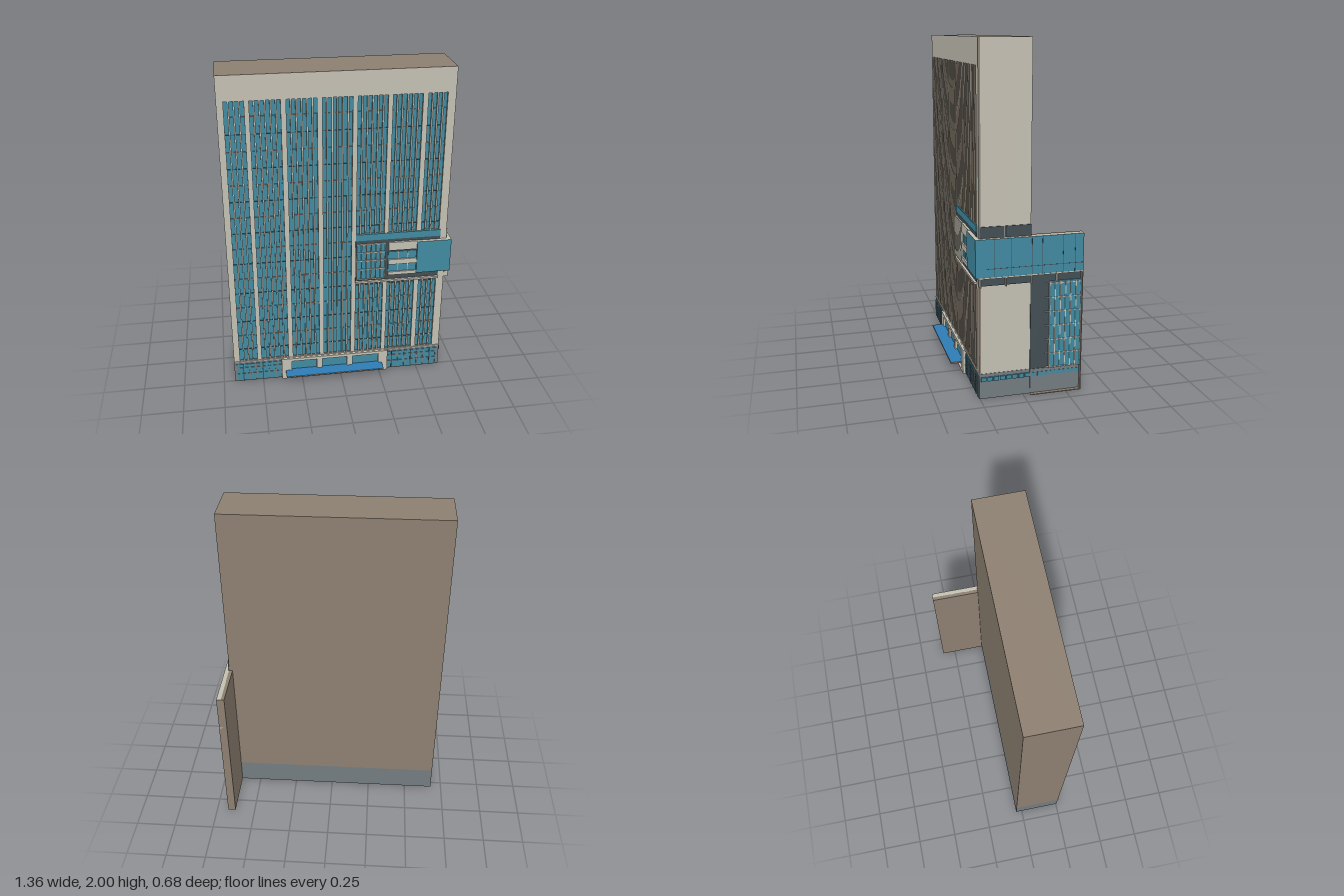
import * as THREE from 'three';

const mat = (name, color) => {
  const m = new THREE.MeshStandardMaterial({ color });
  m.name = name;
  return m;
};

export function createModel() {
  const stone = mat('pale stone', 0xc3bfb2);
  const brown = mat('brown wall', 0x8c7f70);
  const glass = mat('teal glass', 0x4089a1);
  const dark = mat('dark glazing', 0x424e53);
  const grey = mat('grey plinth', 0x737c81);
  const blue = mat('blue canopy', 0x2d7cb5);

  const model = new THREE.Group();
  model.name = 'tower';
  let parent = model;
  const section = (name) => {
    parent = new THREE.Group();
    parent.name = name;
    model.add(parent);
  };
  // Box given by its limits on each axis
  const box = (name, material, x0, x1, y0, y1, z0, z1) => {
    const mesh = new THREE.Mesh(new THREE.BoxGeometry(x1 - x0, y1 - y0, z1 - z0), material);
    mesh.position.set((x0 + x1) / 2, (y0 + y1) / 2, (z0 + z1) / 2);
    mesh.name = name;
    parent.add(mesh);
    return mesh;
  };

  // Main slab: pale right end, brown back, left end and roof
  section('slab');
  box('slabBody', [stone, brown, brown, grey, glass, brown], -0.68, 0.648, 0.15, 2, -0.04, 0.243);
  box('plinth', grey, -0.68, 0.65, 0, 0.15, -0.04, 0.255);

  // Pierced front screen with grouped window strips
  section('facade');
  const screen = new THREE.Shape();
  const rect = (p, x0, x1, y0, y1) => {
    p.moveTo(x0, y0);
    p.lineTo(x1, y0);
    p.lineTo(x1, y1);
    p.lineTo(x0, y1);
    p.closePath();
    return p;
  };
  rect(screen, -0.68, 0.648, 0.15, 2);
  const bays = [[-0.642, 4], [-0.504, 6], [-0.304, 6], [-0.105, 6], [0.093, 6], [0.29, 6], [0.49, 4]];
  for (const [start, count] of bays) {
    for (let i = 0; i < count; i++) {
      const x = start + i * 0.0298;
      const spans = start > 0.05 ? [[0.155, 0.655], [1.0, 1.855]] : [[0.155, 1.855]];
      for (const [y0, y1] of spans) screen.holes.push(rect(new THREE.Path(), x, x + 0.021, y0, y1));
    }
    // Floor lines behind the screen
    const end = start + (count - 1) * 0.0298 + 0.021;
    for (let f = 0; f < 16; f++) {
      const y = 0.235 + f * 0.1018;
      if (start > 0.05 && y > 0.65 && y < 1.0) continue;
      box('floorLine', f % 2 ? brown : dark, start, end, y, y + 0.003, 0.243, 0.247);
    }
  }
  const screenMesh = new THREE.Mesh(
    new THREE.ExtrudeGeometry(screen, { depth: 0.012, bevelEnabled: false }), [stone, brown]);
  screenMesh.position.z = 0.243;
  screenMesh.name = 'windowScreen';
  parent.add(screenMesh);

  // Projecting lounge on the front
  section('frontLounge');
  box('loungeBack', dark, 0.09, 0.61, 0.68, 0.962, 0.25, 0.258);
  box('upperGlassBand', glass, 0.09, 0.61, 0.958, 1.0, 0.25, 0.26);
  box('lowerSill', stone, 0.09, 0.61, 0.668, 0.68, 0.25, 0.272);
  box('latticeGlass', glass, 0.093, 0.275, 0.69, 0.935, 0.255, 0.262);
  for (let i = 0; i <= 6; i++) {
    const x = 0.093 + i * 0.0293;
    box('latticeMullion', stone, x, x + 0.005, 0.69, 0.935, 0.26, 0.272);
  }
  for (const y of [0.69, 0.76, 0.82, 0.875, 0.932]) {
    box('latticeRail', stone, 0.093, 0.274, y, y + 0.005, 0.26, 0.268);
  }
  for (const [y0, y1] of [[0.885, 0.94], [0.788, 0.822], [0.714, 0.736]]) {
    box('balconyBand', stone, 0.29, 0.467, y0, y1, 0.255, 0.272);
  }
  for (const [y0, y1] of [[0.822, 0.873], [0.736, 0.788]]) {
    box('balconyGlass', glass, 0.29, 0.467, y0, y1, 0.255, 0.263);
    for (const x of [0.35, 0.41]) box('balconyMullion', stone, x, x + 0.004, y0, y1, 0.26, 0.266);
  }

  // Teal glass box wrapping the right front corner
  section('cornerBox');
  box('frontGlassBox', [glass, glass, stone, stone, glass, stone], 0.465, 0.676, 0.722, 0.937, 0.25, 0.28);
  box('sideGlassBox', [glass, brown, stone, stone, glass, brown], 0.648, 0.676, 0.722, 0.937, -0.34, 0.25);
  for (const z of [0.175, 0.08, -0.04, -0.1, -0.22, -0.29]) {
    box('panelJoint', dark, 0.675, 0.677, 0.722, 0.937, z - 0.0015, z + 0.0015);
  }
  box('panelJoint', dark, 0.675, 0.677, 0.768, 0.771, -0.34, 0.22);
  box('boxFootTrim', stone, 0.65, 0.677, 0.714, 0.722, -0.34, 0.27);

  // Dark bands above and below the box
  for (const [z0, z1] of [[0.112, 0.25], [-0.04, 0.104]]) {
    box('upperDarkBand', dark, 0.645, 0.653, 0.937, 1.0, z0, z1);
  }
  box('lowerDarkBand', dark, 0.64, 0.656, 0.668, 0.714, -0.335, 0.25);
  for (const z of [0.25, 0.105, -0.04, -0.19]) {
    box('bandBracket', stone, 0.65, 0.676, 0.665, 0.716, z - 0.003, z + 0.003);
  }

  // Rear wing on the right side
  section('rearWing');
  box('wingWall', brown, 0.628, 0.65, 0, 0.937, -0.34, -0.04);
  box('wingEndPlate', brown, 0.65, 0.677, 0, 0.722, -0.34, -0.335);
  box('wingFloorPlate', brown, 0.628, 0.677, 0, 0.005, -0.34, -0.04);
  box('wingPlinth', grey, 0.65, 0.656, 0.005, 0.15, -0.335, -0.04);
  box('wingDarkRecess', dark, 0.65, 0.653, 0.15, 0.668, -0.15, -0.04);
  box('wingGlass', glass, 0.65, 0.663, 0.15, 0.668, -0.335, -0.15);
  for (let i = 0; i <= 6; i++) {
    const z = -0.15 - i * 0.0308;
    box('wingMullion', stone, 0.65, 0.668, 0.15, 0.668, z - 0.002, z + 0.002);
  }
  for (let i = 0; i <= 6; i++) {
    const y = 0.155 + i * 0.0835;
    box('wingRail', stone, 0.65, 0.667, y - 0.002, y + 0.002, -0.335, -0.15);
    box('wingLedge', stone, 0.65, 0.664, y - 0.001, y + 0.001, -0.15, -0.125);
  }

  // Plinth windows, side strip and front shopfronts
  section('groundFloor');
  for (let i = 0; i < 16; i++) {
    const z = 0.245 - i * 0.0365;
    box('sideWindow', glass, 0.648, 0.658, 0.106, 0.13, z - 0.03, z);
  }
  for (const [x0, x1] of [[-0.665, -0.375], [0.295, 0.63]]) {
    box('shopGlass', glass, x0, x1, 0.008, 0.13, 0.25, 0.258);
    const count = Math.round((x1 - x0) / 0.042);
    for (let i = 0; i <= count; i++) {
      const x = x0 + (x1 - x0) * i / count;
      box('shopMullion', i % 3 === 1 ? dark : grey, x - 0.003, x + 0.003, 0.008, 0.13, 0.255, 0.262);
    }
    for (const y of [0.055, 0.1]) box('shopRail', grey, x0, x1, y, y + 0.005, 0.255, 0.261);
  }
  box('plinthCap', stone, -0.68, 0.65, 0.146, 0.152, 0.25, 0.26);

  // Entrance portal with canopy
  section('entrance');
  const portal = rect(new THREE.Shape(), -0.38, 0.305, 0, 0.15);
  for (const [x0, x1] of [[-0.315, -0.155], [-0.12, 0.04], [0.075, 0.245]]) {
    portal.holes.push(rect(new THREE.Path(), x0, x1, 0.005, 0.13));
    box('entranceGlass', glass, x0, x1, 0.005, 0.13, 0.25, 0.259);
  }
  box('entranceDoor', dark, -0.12, 0.04, 0.002, 0.055, 0.255, 0.262);
  const portalMesh = new THREE.Mesh(
    new THREE.ExtrudeGeometry(portal, { depth: 0.02, bevelEnabled: false }), stone);
  portalMesh.position.z = 0.253;
  portalMesh.name = 'portalFrame';
  parent.add(portalMesh);
  box('canopy', [brown, brown, blue, dark, brown, brown], -0.355, 0.268, 0.054, 0.063, 0.26, 0.34);

  return model;
}
